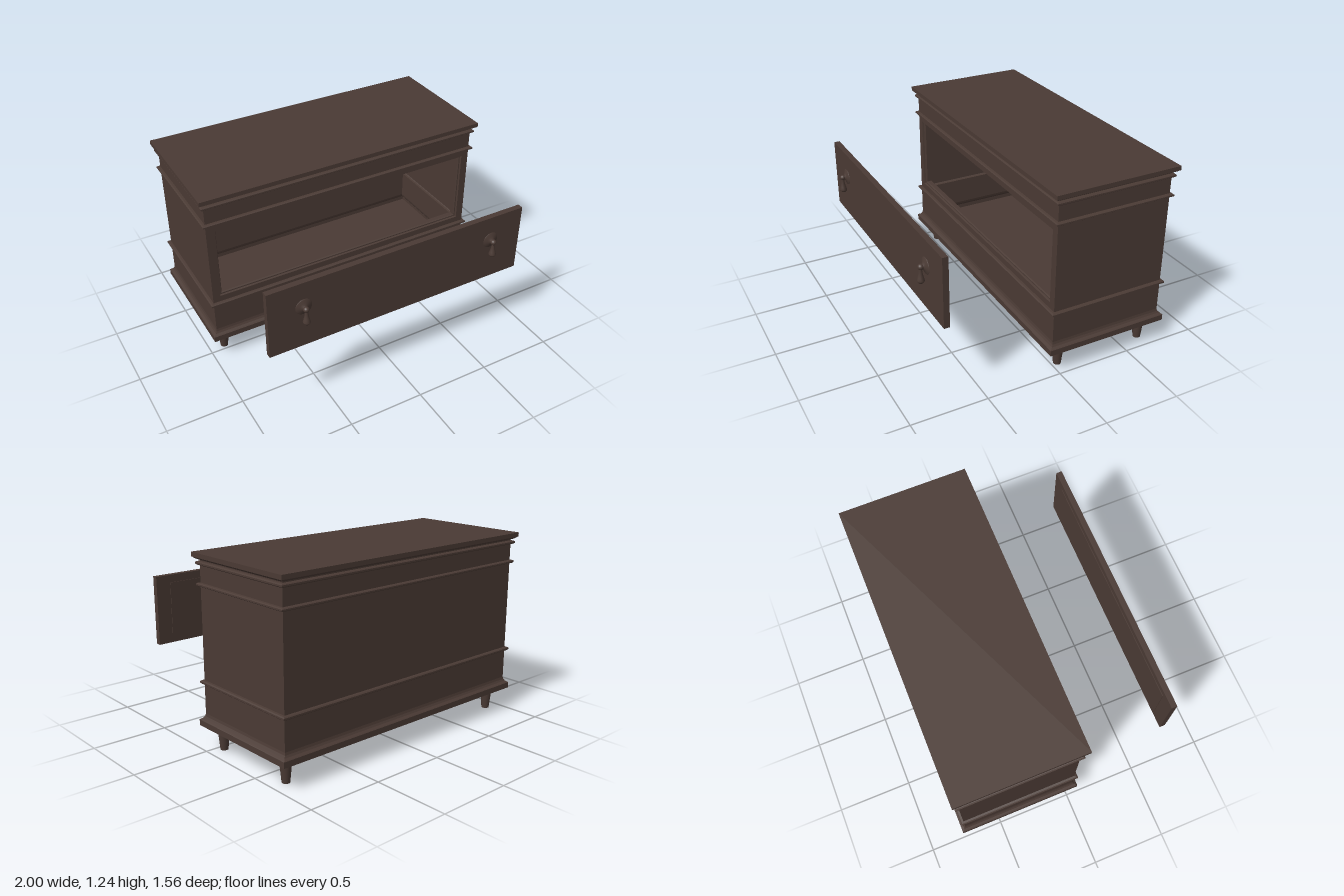
import * as THREE from 'three';

const HX = 0.9655, HZ = 0.39, CZ = -0.348; // carcass half sizes and centre

export function createModel() {
  const root = new THREE.Group();
  root.name = 'chest';
  const wood = new THREE.MeshStandardMaterial({ color: 0x4a3a34, side: THREE.DoubleSide });
  wood.name = 'dark brown wood';

  const add = (name, geometry, x = 0, y = 0, z = 0, parent = root) => {
    const mesh = new THREE.Mesh(geometry, wood);
    mesh.name = name;
    mesh.position.set(x, y, z);
    parent.add(mesh);
    return mesh;
  };
  const box = (name, w, h, d, x, y, z, parent) => add(name, new THREE.BoxGeometry(w, h, d), x, y, z, parent);

  // Joins successive four-cornered loops with flat faces
  const skin = (loops, sides = [0, 1, 2, 3]) => {
    const points = [];
    for (let i = 0; i + 1 < loops.length; i++) {
      for (const s of sides) {
        const t = (s + 1) % 4;
        const a = loops[i][s], b = loops[i][t], c = loops[i + 1][t], d = loops[i + 1][s];
        points.push(...a, ...b, ...c, ...a, ...c, ...d);
      }
    }
    const g = new THREE.BufferGeometry();
    g.setAttribute('position', new THREE.Float32BufferAttribute(points, 3));
    g.computeVertexNormals();
    return g;
  };
  // Horizontal loop around the carcass, pushed out by o
  const ring = ([o, y]) => [[1, 1], [1, -1], [-1, -1], [-1, 1]].map(([x, z]) => [x * (HX + o), y, CZ + z * (HZ + o)]);
  // Half-round moulding profile
  const bead = (y0, y1) => [[0, y0], [0.013, y0 + 0.002], [0.02, y0 * 0.7 + y1 * 0.3],
    [0.02, y0 * 0.3 + y1 * 0.7], [0.013, y1 - 0.002], [0, y1]];

  // Carcass: thin shell with mouldings, open at the front for the drawer
  const lower = [[0.029, 0.152], [0.029, 0.19], [0.024, 0.194], [0.012, 0.202], [0.004, 0.214], [0, 0.23], ...bead(0.422, 0.448)];
  const upper = [...bead(1.033, 1.056), ...bead(1.162, 1.187), [0, 1.194], [0.012, 1.197], [0.025, 1.205], [0.031, 1.212]];
  add('basePlinth', skin(lower.map(ring)));
  add('carcassWalls', skin([[0, 0.448], [0, 1.033]].map(ring), [0, 1, 2]));
  add('upperFrieze', skin(upper.map(ring)));
  box('topSlab', 2, 0.028, 0.852, 0, 1.226, CZ);
  box('bottomBoard', 1.985, 0.008, 0.836, 0, 0.157, CZ);

  // Front face with the drawer opening
  const frontZ = CZ + HZ;
  const rect = (Type, x, y0, y1) => new Type([[-x, y0], [x, y0], [x, y1], [-x, y1]].map(p => new THREE.Vector2(...p)));
  const front = rect(THREE.Shape, HX, 0.448, 1.033);
  front.holes.push(rect(THREE.Path, 0.914, 0.489, 0.991));
  add('frontFrame', new THREE.ShapeGeometry(front), 0, 0, frontZ);

  // Stepped moulding lining the opening
  const lining = [[0, 0], [0.004, -0.012], [0.012, -0.012], [0.017, -0.02], [0.017, -0.05]].map(([inset, z]) => {
    const x = 0.914 - inset, y0 = 0.489 + inset, y1 = 0.991 - inset;
    return [[-x, y0], [x, y0], [x, y1], [-x, y1]].map(p => [...p, frontZ + z]);
  });
  add('openingMoulding', skin(lining));

  // Tapered feet
  for (const x of [-0.895, 0.895]) {
    for (const z of [-0.306, 0.306]) {
      add('foot', new THREE.CylinderGeometry(0.04, 0.025, 0.154, 20), x, 0.077, CZ + z);
    }
  }

  // Drawer front pulled forward, with a thin raised field behind
  const drawer = new THREE.Group();
  drawer.name = 'drawerFront';
  root.add(drawer);
  box('drawerPanel', 1.784, 0.463, 0.038, 0, 0.739, 0.706, drawer);
  box('drawerBackField', 1.58, 0.36, 0.004, 0, 0.739, 0.685, drawer);

  // Drop handles
  const lathe = (pts, n) => new THREE.LatheGeometry(pts.map(p => new THREE.Vector2(...p)), n);
  const rosette = lathe([[0.054, 0], [0.05, 0.004], [0.032, 0.01], [0.017, 0.018], [0.012, 0.024], [0.011, 0.034]], 24);
  const pendant = lathe([[0, -0.107], [0.014, -0.105], [0.022, -0.096], [0.024, -0.087], [0.019, -0.07],
    [0.013, -0.045], [0.01, -0.02], [0.01, 0]], 12);
  for (const x of [-0.662, 0.662]) {
    const handle = new THREE.Group();
    handle.name = 'dropHandle';
    handle.position.set(x, 0.8, 0.725);
    drawer.add(handle);
    add('rosette', rosette, 0, 0, 0, handle).rotation.x = Math.PI / 2;
    add('knob', new THREE.SphereGeometry(0.019, 16, 12), 0, 0, 0.031, handle);
    add('pendant', pendant, 0, 0, 0.033, handle);
  }
  return root;
}
